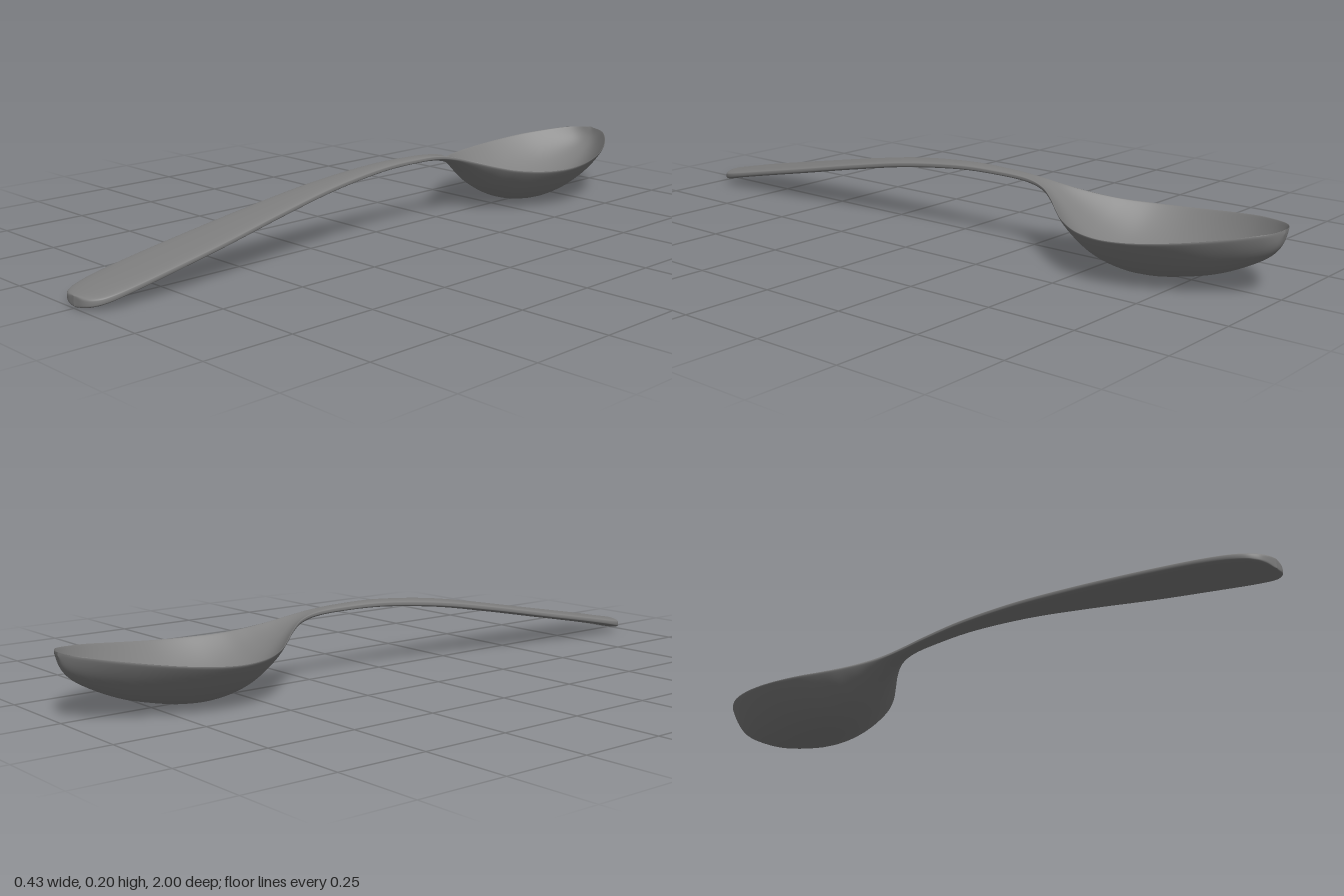
import * as THREE from 'three';

// Stations from handle end to bowl tip:
// z, half width, rim height, centre-line height, thickness (heights at mid wall)
const STATIONS = [
  [1.0, 0.0, 0.02, 0.02, 0.026],
  [0.995, 0.034, 0.02, 0.02, 0.03],
  [0.98, 0.058, 0.022, 0.022, 0.031],
  [0.95, 0.075, 0.028, 0.028, 0.03],
  [0.89, 0.084, 0.041, 0.041, 0.028],
  [0.78, 0.085, 0.063, 0.062, 0.026],
  [0.6, 0.078, 0.097, 0.096, 0.025],
  [0.4, 0.062, 0.135, 0.134, 0.024],
  [0.2, 0.045, 0.168, 0.168, 0.022],
  [0.0, 0.031, 0.188, 0.188, 0.019],
  [-0.15, 0.024, 0.19, 0.19, 0.017],
  [-0.24, 0.023, 0.186, 0.183, 0.016],
  [-0.3, 0.036, 0.176, 0.166, 0.015],
  [-0.35, 0.066, 0.161, 0.134, 0.014],
  [-0.4, 0.107, 0.145, 0.096, 0.013],
  [-0.45, 0.147, 0.133, 0.06, 0.012],
  [-0.52, 0.188, 0.126, 0.025, 0.012],
  [-0.6, 0.211, 0.125, 0.009, 0.012],
  [-0.68, 0.213, 0.13, 0.01, 0.012],
  [-0.76, 0.198, 0.139, 0.024, 0.012],
  [-0.84, 0.168, 0.15, 0.046, 0.013],
  [-0.91, 0.125, 0.16, 0.077, 0.014],
  [-0.96, 0.082, 0.168, 0.107, 0.015],
  [-0.987, 0.045, 0.171, 0.137, 0.015],
  [-1.0, 0.0, 0.173, 0.173, 0.012],
];

// Smooth closed skin lofted through the stations
function loftSpoon(rows, sides) {
  const outline = new THREE.CatmullRomCurve3(
    STATIONS.map(([z, w, , , t]) => new THREE.Vector3(w, t, z)), false, 'catmullrom', 0.5);
  const heights = new THREE.CatmullRomCurve3(
    STATIONS.map(([, , rim, mid]) => new THREE.Vector3(rim, mid, 0)), false, 'catmullrom', 0.5);
  const positions = [];
  const indices = [];
  for (let i = 0; i <= rows; i++) {
    const { x: w, y: t, z } = outline.getPoint(i / rows);
    const { x: rim, y: mid } = heights.getPoint(i / rows);
    for (let j = 0; j < sides; j++) {
      const a = (j / sides) * Math.PI * 2;
      const u = Math.cos(a);
      const s = Math.sin(a);
      // dished mid surface plus a wall with rounded edges
      const dish = (rim - mid) * (1 - Math.pow(Math.abs(u), 2.2));
      const wall = (t / 2) * Math.sign(s) * Math.sqrt(Math.abs(s));
      positions.push(Math.max(w, 0) * u, rim - dish + wall, z);
      if (i < rows) {
        const p = i * sides + j;
        const q = i * sides + ((j + 1) % sides);
        indices.push(p, p + sides, q, q, p + sides, q + sides);
      }
    }
  }
  const geometry = new THREE.BufferGeometry();
  geometry.setAttribute('position', new THREE.Float32BufferAttribute(positions, 3));
  geometry.setIndex(indices);
  geometry.computeVertexNormals();
  return geometry;
}

export function createModel() {
  const steel = new THREE.MeshStandardMaterial({ color: 0x7f7f7f });
  steel.name = 'steel';
  const group = new THREE.Group();
  group.name = 'spoon';
  // Handle and bowl are one continuous piece
  const body = new THREE.Mesh(loftSpoon(144, 64), steel);
  body.name = 'handleAndBowl';
  group.add(body);
  return group;
}
